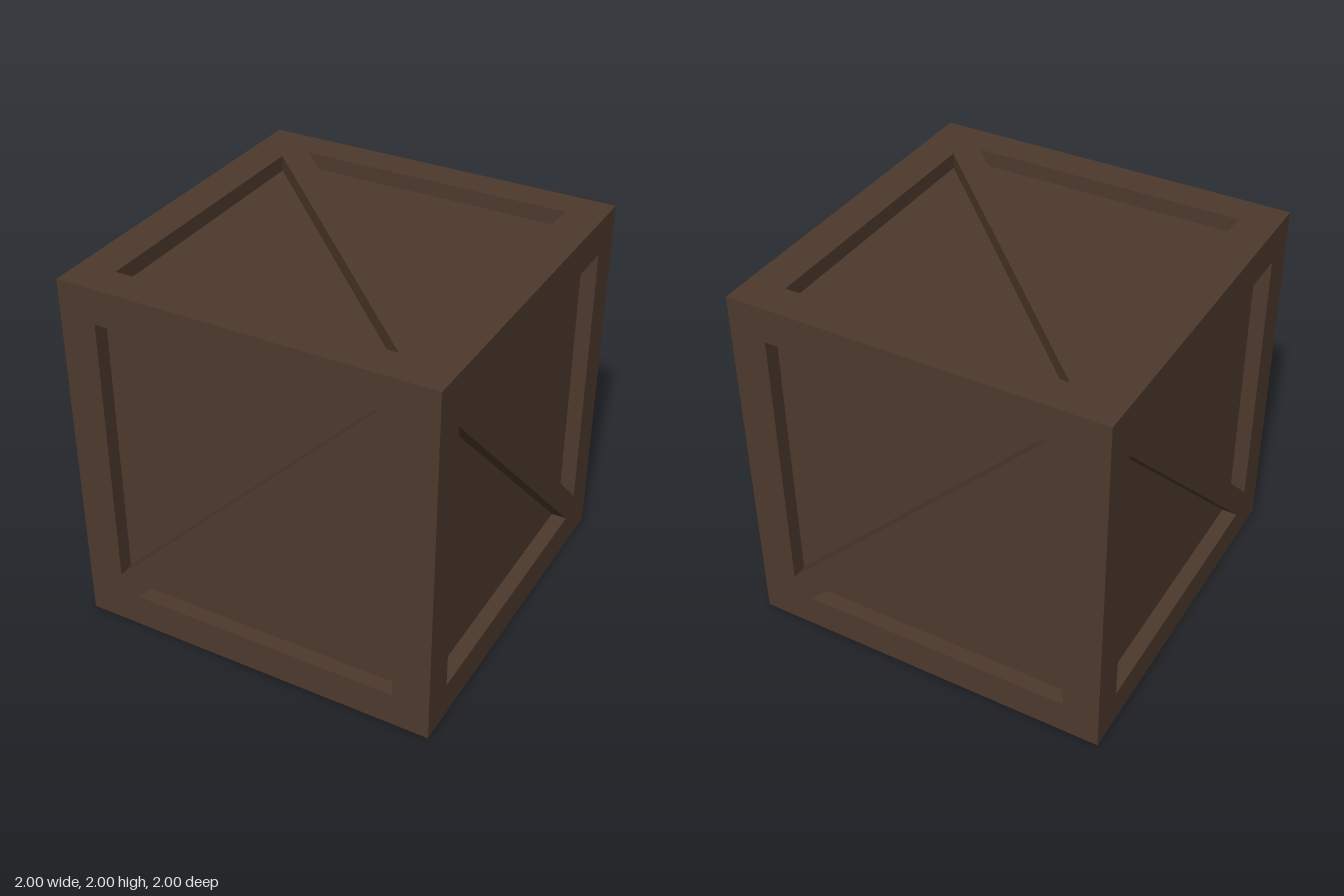
import * as THREE from 'three';

const DEPTH = 0.085; // how far the panels sit behind the frame

// Two triangular openings left by a square frame with one diagonal brace
function openings(halfWidth, cut, mirror) {
  const h = 0.81, s = mirror ? -1 : 1;
  const corner = [[-halfWidth, -cut], [cut, h], [-halfWidth, h]];
  return [1, -1].map((k) => {
    const tri = corner.map(([x, y]) => new THREE.Vector2(x * k * s, y * k));
    return THREE.ShapeUtils.isClockWise(tri) ? tri.reverse() : tri;
  });
}

// Flat outer face of the frame and brace, at z = 1
function frameGeometry(tris) {
  const shape = new THREE.Shape([[-1, -1], [1, -1], [1, 1], [-1, 1]].map(([x, y]) => new THREE.Vector2(x, y)));
  tris.forEach((tri) => shape.holes.push(new THREE.Path(tri)));
  return new THREE.ShapeGeometry(shape).translate(0, 0, 1);
}

// Walls running from the outer face down to the panels
function wallGeometry(tris) {
  const points = [];
  const at = (p, z) => new THREE.Vector3(p.x, p.y, z);
  for (const tri of tris) {
    tri.forEach((p, i) => {
      const q = tri[(i + 1) % tri.length], low = 1 - DEPTH;
      points.push(at(q, low), at(p, low), at(p, 1), at(q, low), at(p, 1), at(q, 1));
    });
  }
  const geometry = new THREE.BufferGeometry().setFromPoints(points);
  geometry.computeVertexNormals();
  return geometry;
}

export function createModel() {
  const crate = new THREE.Group();
  crate.name = 'crate';
  const wood = new THREE.MeshStandardMaterial({ color: 0x4e392c });
  wood.name = 'dark brown wood';

  function add(parent, name, geometry) {
    const mesh = new THREE.Mesh(geometry, wood);
    mesh.name = name;
    parent.add(mesh);
    return mesh;
  }

  // Inner box: its faces are the recessed panels
  const size = 2 - 2 * DEPTH;
  add(crate, 'panels', new THREE.BoxGeometry(size, size, size)).position.y = 1;

  // Braced frame on each of the six sides
  const front = openings(0.8, 0.7, false);
  const side = openings(0.81, 0.715, true);
  const lid = openings(0.8, 0.7, true);
  const q = Math.PI / 2;
  const sides = [
    ['front', front, 0, 0],
    ['back', front, 0, 2 * q],
    ['right', side, 0, q],
    ['left', side, 0, -q],
    ['top', lid, -q, 0],
    ['bottom', lid, q, 0],
  ];
  for (const [name, tris, rx, ry] of sides) {
    const group = new THREE.Group();
    group.name = name + ' side';
    group.rotation.set(rx, ry, 0);
    group.position.y = 1;
    add(group, name + ' frame and brace', frameGeometry(tris));
    add(group, name + ' recess walls', wallGeometry(tris));
    crate.add(group);
  }
  return crate;
}
